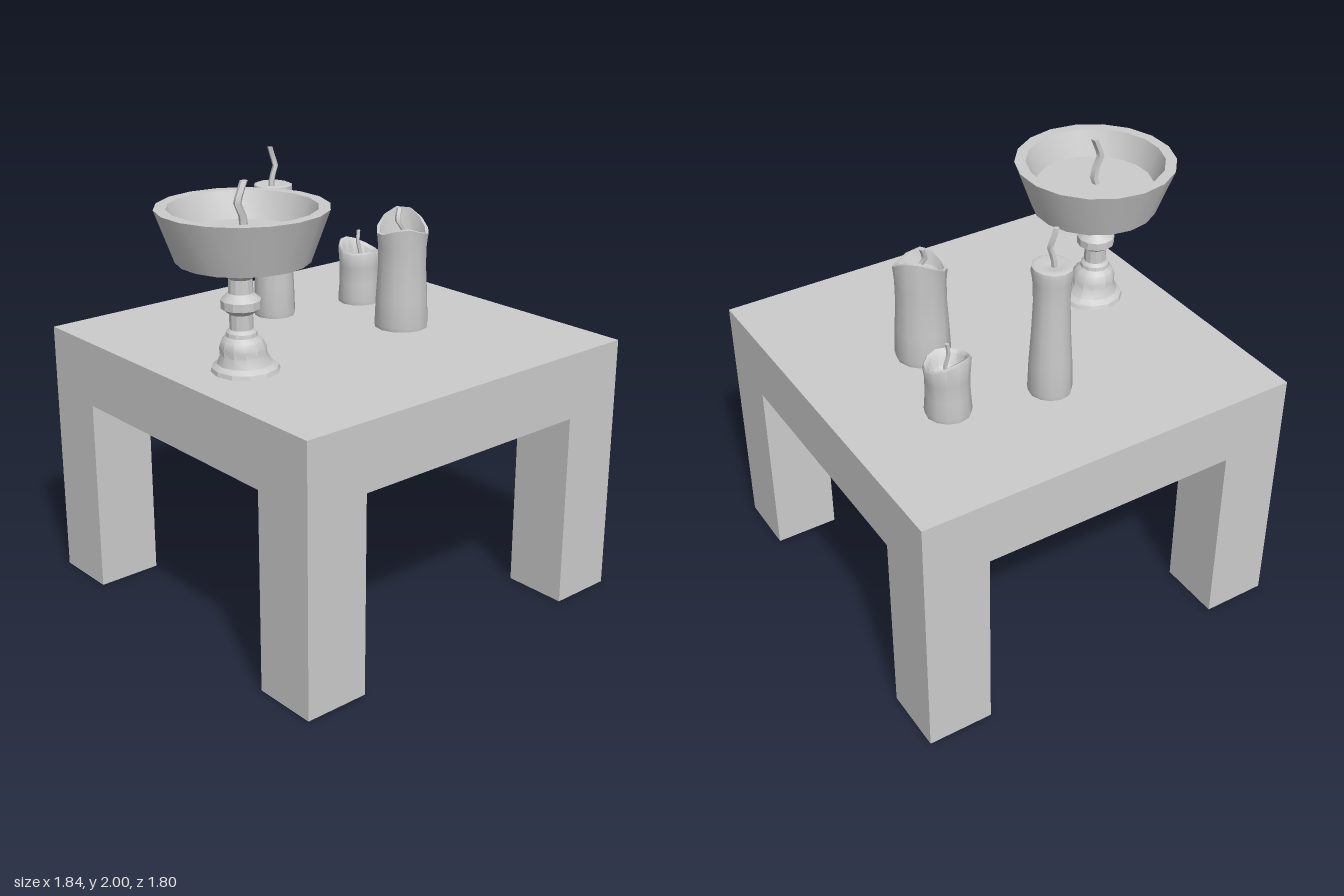
import * as THREE from 'three';
import { toCreasedNormals } from 'three/addons/utils/BufferGeometryUtils.js';

const material = new THREE.MeshStandardMaterial({ color: 0xcccccc });

function mesh(name, geometry, x = 0, y = 0, z = 0) {
  const m = new THREE.Mesh(geometry, material);
  m.name = name;
  m.position.set(x, y, z);
  return m;
}

// Turned solid from [radius, height] pairs, optionally deformed vertex by vertex
function turned(profile, sides, crease, deform) {
  let geo = new THREE.LatheGeometry(profile.map(([r, y]) => new THREE.Vector2(r, y)), sides);
  if (deform) {
    const p = geo.attributes.position;
    const v = new THREE.Vector3();
    for (let i = 0; i < p.count; i++) {
      deform(v.fromBufferAttribute(p, i));
      p.setXYZ(i, v.x, v.y, v.z);
    }
  }
  return toCreasedNormals(geo, crease);
}

// Bent wick following a few [x, y, z] points
function wick(points, radius) {
  const curve = new THREE.CatmullRomCurve3(points.map(a => new THREE.Vector3(...a)));
  const geo = new THREE.CylinderGeometry(radius * 0.9, radius, 1, 5, 6);
  const p = geo.attributes.position;
  for (let i = 0; i < p.count; i++) {
    const c = curve.getPoint(p.getY(i) + 0.5);
    p.setXYZ(i, p.getX(i) + c.x, c.y, p.getZ(i) + c.z);
  }
  return mesh('wick', toCreasedNormals(geo, 0.9));
}

// Candle with uneven sides; rim(angle) lifts the vertices near the rim height
function candle(name, x, z, profile, rimY, rim, wobble, wickPoints, wickRadius) {
  const group = new THREE.Group();
  group.name = name;
  group.position.set(x, 1.2, z);
  const body = turned(profile, 12, 0.9, v => {
    const a = Math.atan2(v.z, v.x);
    const s = 1 + wobble * Math.sin(2 * a + v.y * 9);
    v.x *= s;
    v.z *= s;
    if (v.y > rimY - 0.001) v.y += rim(a);
  });
  group.add(mesh('wax', body), wick(wickPoints, wickRadius));
  return group;
}

// Smooth bump around an angle
const bump = (a, centre, sharpness) => Math.pow((1 + Math.cos(a - centre)) / 2, sharpness);

function createModel() {
  const model = new THREE.Group();

  // Table
  const table = new THREE.Group();
  table.name = 'table';
  table.position.x = 0.025;
  table.add(mesh('tableTop', new THREE.BoxGeometry(1.8, 0.3, 1.8), 0, 1.05, 0));
  for (const sx of [-1, 1]) for (const sz of [-1, 1]) {
    table.add(mesh('leg', new THREE.BoxGeometry(0.3, 0.9, 0.3), sx * 0.75, 0.45, sz * 0.75));
  }
  model.add(table);

  // Pedestal bowl filled with wax
  const lamp = new THREE.Group();
  lamp.name = 'pedestalCandle';
  lamp.position.set(-0.565, 1.2, 0.13);
  const stem = turned([
    [0, 0], [0.148, 0], [0.142, 0.018], [0.118, 0.035], [0.1, 0.075], [0.1, 0.105],
    [0.088, 0.135], [0.068, 0.155], [0.065, 0.172], [0.05, 0.185], [0.05, 0.25], [0.085, 0.275],
    [0.085, 0.31], [0.053, 0.34], [0.05, 0.4], [0.065, 0.415], [0.12, 0.455], [0.15, 0.485], [0, 0.485],
  ], 12, 0.5, v => { v.x -= 0.018 * Math.min(1, v.y / 0.15); });
  const bowl = turned([
    [0, 0.475], [0.28, 0.475], [0.36, 0.695], [0.31, 0.695], [0.265, 0.58], [0, 0.58],
  ], 18, 0.5);
  lamp.add(mesh('stem', stem), mesh('bowl', bowl), wick([
    [-0.01, 0.57, 0], [0.005, 0.63, 0.005], [-0.025, 0.71, 0], [-0.012, 0.75, 0], [0.01, 0.8, 0],
  ], 0.019));
  model.add(lamp);

  // Tall candle with a rounded top
  model.add(candle('tallCandle', 0.015, -0.4, [
    [0, 0], [0.09, 0], [0.093, 0.02], [0.09, 0.15], [0.085, 0.3], [0.08, 0.45], [0.082, 0.55],
    [0.088, 0.595], [0.086, 0.615], [0.07, 0.622], [0.03, 0.61], [0, 0.607],
  ], 9, () => 0, 0.04, [
    [-0.01, 0.6, 0], [-0.005, 0.65, 0], [0.012, 0.7, 0.004], [0.003, 0.74, -0.004], [-0.012, 0.787, -0.004],
  ], 0.014));

  // Medium candle with a torn rim, highest at the back right
  model.add(candle('mediumCandle', 0.342, 0.115, [
    [0, 0], [0.118, 0], [0.121, 0.02], [0.117, 0.15], [0.113, 0.28], [0.115, 0.38],
    [0.121, 0.43], [0.106, 0.433], [0.088, 0.41], [0.04, 0.4], [0, 0.398],
  ], 0.425, a => 0.1 * bump(a, -0.85, 3) + 0.045 * bump(a, 2.2, 6), 0.03, [
    [0, 0.39, 0], [0.01, 0.44, 0.005], [-0.02, 0.49, -0.01], [-0.002, 0.545, -0.02],
  ], 0.015));

  // Small candle with a deep hollow and a slanted rim
  model.add(candle('smallCandle', 0.46, -0.305, [
    [0, 0], [0.096, 0], [0.099, 0.02], [0.093, 0.1], [0.094, 0.18], [0.102, 0.225],
    [0.096, 0.235], [0.08, 0.225], [0.068, 0.19], [0.03, 0.17], [0, 0.168],
  ], 0.22, a => 0.065 * bump(a, -1.8, 2) + 0.025 * bump(a, 1.7, 4), 0.03, [
    [0, 0.16, 0], [0.006, 0.23, 0.003], [-0.006, 0.29, -0.004], [0.002, 0.345, -0.008],
  ], 0.01));

  return model;
}

export { createModel };
